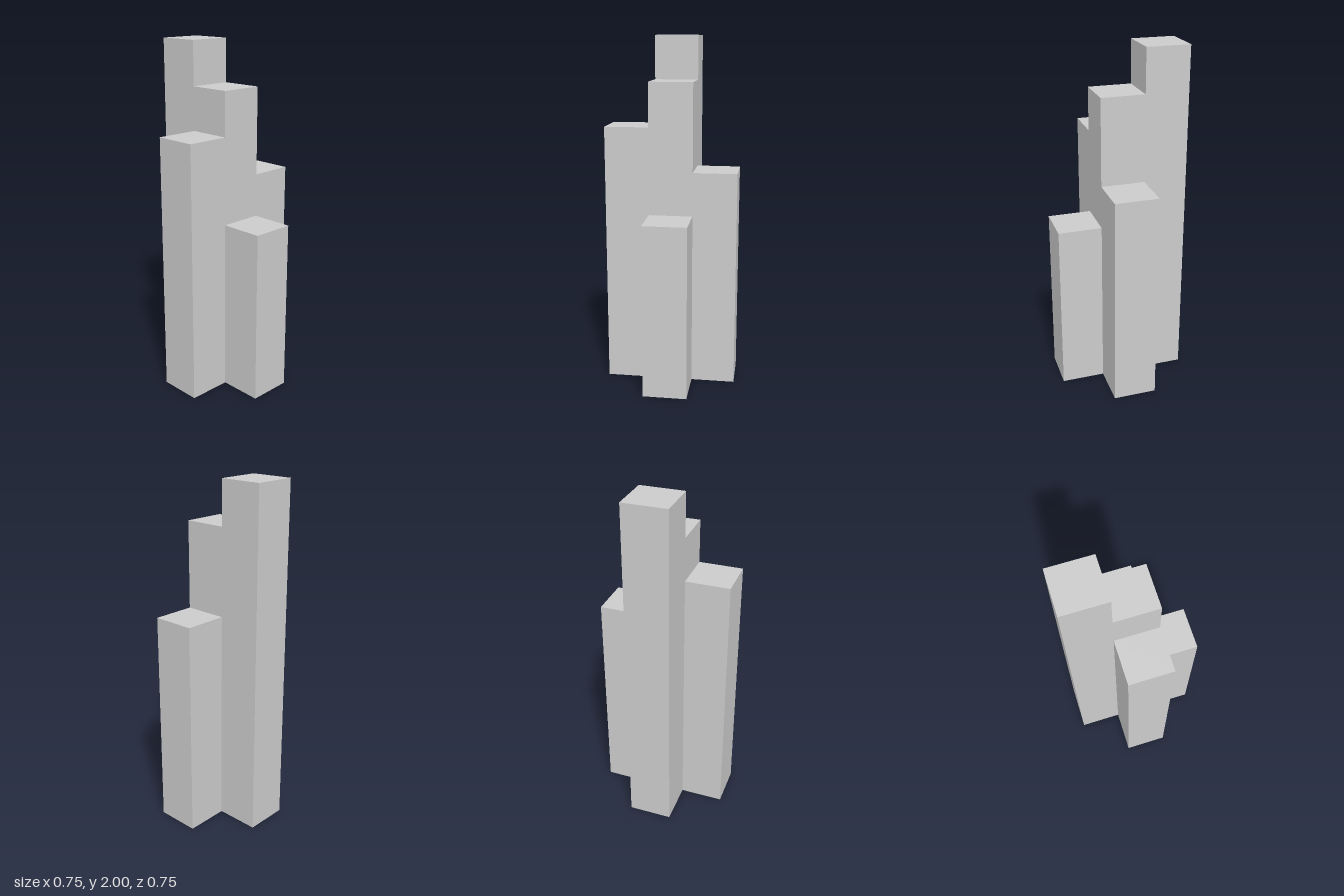
import * as THREE from 'three';

const W = 0.25; // side of every square column

export function createModel() {
  const group = new THREE.Group();
  group.name = 'steppedTower';
  const material = new THREE.MeshStandardMaterial({ color: 0xcccccc, flatShading: true });

  // Plus-shaped cluster of columns: name, grid x, grid z, height
  const columns = [
    ['centreColumn', 0, 0, 1.75],
    ['backColumn', 0, -1, 2],
    ['rightColumn', -1, 0, 1.5],
    ['leftColumn', 1, 0, 1.25],
    ['frontColumn', 0, 1, 1],
  ];

  for (const [name, x, z, height] of columns) {
    const column = new THREE.Mesh(new THREE.BoxGeometry(W, height, W), material);
    column.name = name;
    column.position.set(x * W, height / 2, z * W);
    group.add(column);
  }
  return group;
}
